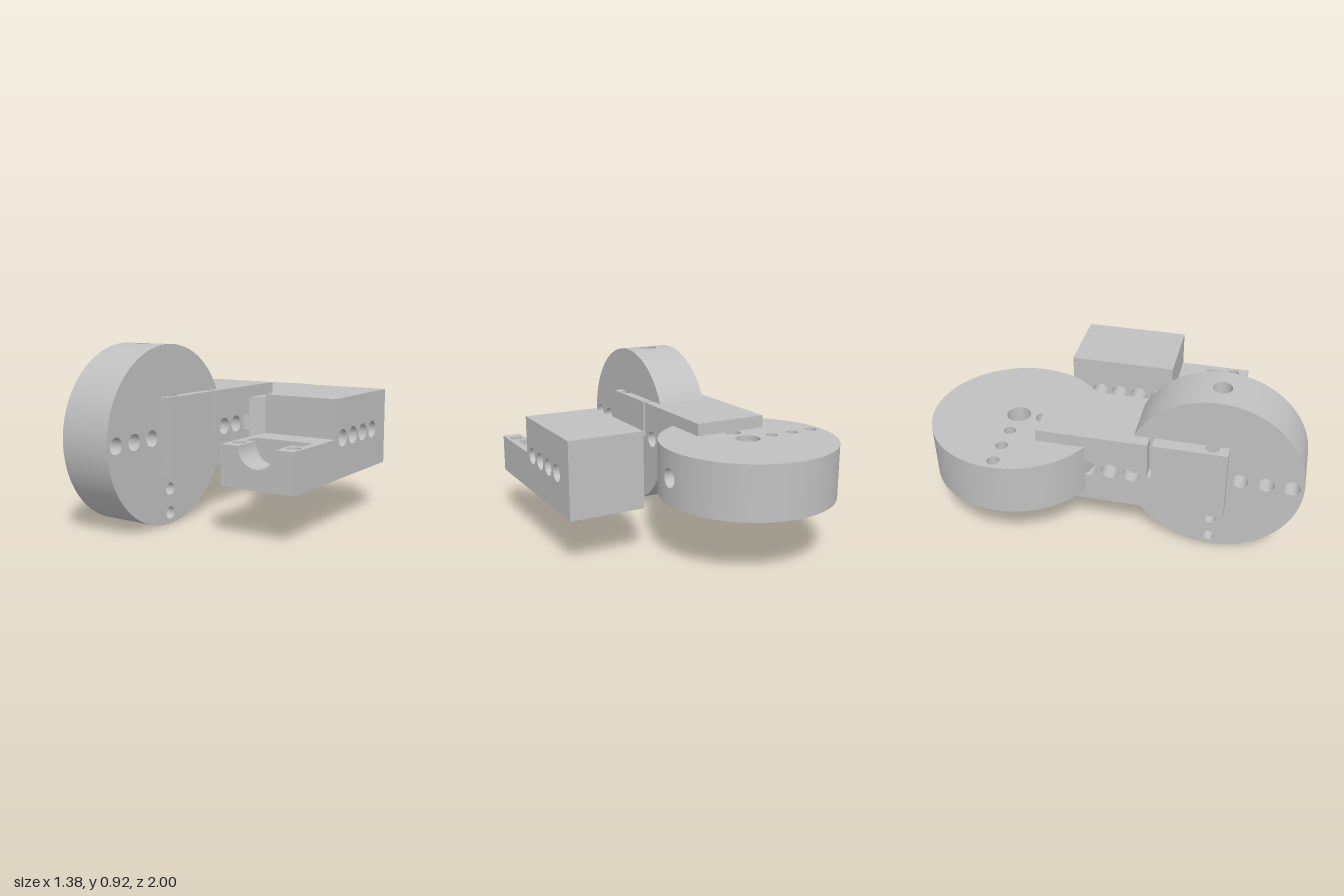
import * as THREE from 'three';
import { toCreasedNormals } from 'three/addons/utils/BufferGeometryUtils.js';

const X = new THREE.Vector3(1, 0, 0), Y = new THREE.Vector3(0, 1, 0), Z = new THREE.Vector3(0, 0, 1);
const metal = new THREE.MeshStandardMaterial({ color: 0xc0c0c0, side: THREE.DoubleSide });
metal.name = 'greyMetal';

const MID = 0.464, BOTTOM = 0.26, TOP = 0.665; // block heights
const WIDTH = 0.405;                           // block width
const R = 0.462, HALF = 0.142;                 // wheel radius and half thickness

function mesh(name, geometry) {
  const m = new THREE.Mesh(geometry, metal);
  m.name = name;
  return m;
}

function frame(a, b, origin) {
  return new THREE.Matrix4().makeBasis(a, b, a.clone().cross(b)).setPosition(...origin);
}

function polygon(points) {
  return new THREE.Shape(points.map(p => new THREE.Vector2(...p)));
}

function drill(shape, holes) {
  for (const [x, y, r] of holes) {
    shape.holes.push(new THREE.Path().absarc(x, y, r, 0, Math.PI * 2, true));
  }
  return shape;
}

// Prism whose outline lies along the a and b axes
function prism(name, shape, depth, a, b, origin) {
  const g = new THREE.ExtrudeGeometry(shape, { depth, bevelEnabled: false, curveSegments: 24 });
  return mesh(name, toCreasedNormals(g.applyMatrix4(frame(a, b, origin)), 0.6));
}

// Curved sheet from a rule over u and v
function sheet(nu, nv, rule) {
  const g = new THREE.PlaneGeometry(1, 1, nu, nv);
  const p = g.attributes.position;
  for (let i = 0; i < p.count; i++) p.setXYZ(i, ...rule(p.getX(i) + 0.5, p.getY(i) + 0.5));
  g.computeVertexNormals();
  return g;
}

const wrap = (arc, h, r = R) => [r * Math.cos(arc / R), r * Math.sin(arc / R), h];

// Drilled wheel: radial bore along a, large holes along b, small holes along -a
function wheel(name, a, b, origin) {
  const group = new THREE.Group();
  group.name = name;
  const holes = [[0, 0, 0.064]];
  for (const d of [0.137, 0.27, 0.4]) holes.push([0, d, 0.042]);
  for (const d of [0.15, 0.279, 0.405]) holes.push([-d, 0, 0.032]);

  // Flat faces
  const disc = drill(new THREE.Shape().absarc(0, 0, R, 0, Math.PI * 2), holes);
  for (const s of [-1, 1]) {
    const face = new THREE.ShapeGeometry(disc, 64);
    if (s < 0) face.rotateX(Math.PI); // outline is symmetric only along a
    if (s < 0) {
      const mirrored = new THREE.ShapeGeometry(disc, 64);
      const idx = mirrored.index.array;
      for (let i = 0; i < idx.length; i += 3) [idx[i], idx[i + 1]] = [idx[i + 1], idx[i]];
      mirrored.computeVertexNormals();
      group.add(mesh('wheelFace', mirrored.translate(0, 0, -HALF)));
    } else group.add(mesh('wheelFace', face.translate(0, 0, HALF)));
  }
  // Walls of the through holes
  for (const [x, y, r] of holes) {
    const wall = new THREE.CylinderGeometry(r, r, HALF * 2, 32, 1, true);
    group.add(mesh('holeWall', wall.rotateX(Math.PI / 2).translate(x, y, 0)));
  }
  // Rim, with a square patch left for the radial bore
  const round = Math.PI * 2 * R;
  group.add(mesh('rim', sheet(120, 1, (u, v) =>
    wrap(HALF + u * (round - 2 * HALF), (v * 2 - 1) * HALF))));
  const bore = 0.05;
  group.add(mesh('rimBorePatch', sheet(64, 6, (u, v) => {
    const t = u * Math.PI * 2, c = Math.cos(t), s = Math.sin(t);
    const edge = HALF / Math.max(Math.abs(c), Math.abs(s));
    const d = bore + (edge - bore) * v;
    return wrap(c * d, s * d);
  })));
  group.add(mesh('boreWall', sheet(48, 1, (u, v) => {
    const t = u * Math.PI * 2;
    const [x, y, z] = wrap(bore * Math.cos(t), bore * Math.sin(t));
    return [v ? x : 0.06, y, z];
  })));
  // Plug at the inner end of the bore
  const plug = new THREE.CylinderGeometry(0.048, 0.048, 0.15, 32);
  group.add(mesh('borePlug', plug.rotateZ(Math.PI / 2).translate(0.128, 0, 0)));

  group.applyMatrix4(frame(a, b, origin));
  return group;
}

// Block holding both wheels, with a fork at the back and a split cap at the front
function wheelHolder() {
  const group = new THREE.Group();
  group.name = 'wheelHolder';
  const left = -0.03, right = left - WIDTH;
  const side = new THREE.Shape();
  side.moveTo(-0.38, BOTTOM);
  for (const [z, y] of [[0.47, BOTTOM], [0.47, TOP], [0.228, TOP], [0.228, MID], [0.205, MID],
    [0.205, TOP], [-0.38, TOP], [-0.38, 0.598], [-0.125, 0.598]]) side.lineTo(z, y);
  side.absarc(-0.105, MID, 0.045, 2.031, -2.031, true);
  side.lineTo(-0.125, 0.315);
  side.lineTo(-0.38, 0.315);
  drill(side, [[0.125, MID, 0.045], [0.01, MID, 0.045]]);
  group.add(prism('holderBody', side, WIDTH, Z, Y, [left, 0, 0]));

  // Front end with the two clamp screw holes
  const plan = polygon([[right, 0.47], [left, 0.47], [left, 0.61], [right, 0.61]]);
  drill(plan, [[right + 0.051, 0.525, 0.033], [left - 0.049, 0.525, 0.033]]);
  group.add(prism('holderFront', plan, TOP - BOTTOM, X, Z, [0, TOP, 0]));
  return group;
}

// Block shown without its cap, with an open stepped groove
function openHolder() {
  const group = new THREE.Group();
  group.name = 'openHolder';
  const a = 0.285, b = a + WIDTH, mid = (a + b) / 2, r = 0.103;
  const side = polygon([[-0.38, BOTTOM], [0.36, BOTTOM], [0.36, MID], [0.205, MID],
    [0.205, TOP], [-0.38, TOP]]);
  drill(side, [0.125, 0.01, -0.105, -0.22].map(z => [z, MID, 0.045]));
  group.add(prism('openHolderBody', side, WIDTH, Z, Y, [b, 0, 0]));

  // Groove profile between two x limits
  const groove = (x0, x1, radius) => {
    const s = new THREE.Shape();
    s.moveTo(x0, MID);
    s.lineTo(x0, BOTTOM);
    s.lineTo(x1, BOTTOM);
    s.lineTo(x1, MID);
    s.absarc(mid, MID, radius, 0, -Math.PI, true);
    return s;
  };
  group.add(prism('wideGroove', groove(a, b, 0.163), 0.1, X, Y, [0, 0, 0.36]));
  group.add(prism('narrowGroove', groove(mid - r, mid + r, r), 0.15, X, Y, [0, 0, 0.46]));

  // Screw posts beside the narrow groove
  for (const [x0, x1, hole] of [[a, mid - r, a + 0.05], [mid + r, b, b - 0.05]]) {
    const plan = polygon([[x0, 0.46], [x1, 0.46], [x1, 0.61], [x0, 0.61]]);
    drill(plan, [[hole, 0.525, 0.033]]);
    group.add(prism('screwPost', plan, MID - BOTTOM, X, Z, [0, MID, 0]));
  }
  return group;
}

export function createModel() {
  const model = new THREE.Group();
  model.name = 'wheelAndHolderSet';
  model.add(wheel('uprightWheel', Y, Z, [-0.225, MID, 0.538]));
  model.add(wheel('flatWheel', X, Z, [-0.233, 0.457, -0.538]));
  model.add(wheelHolder(), openHolder());
  return model;
}
